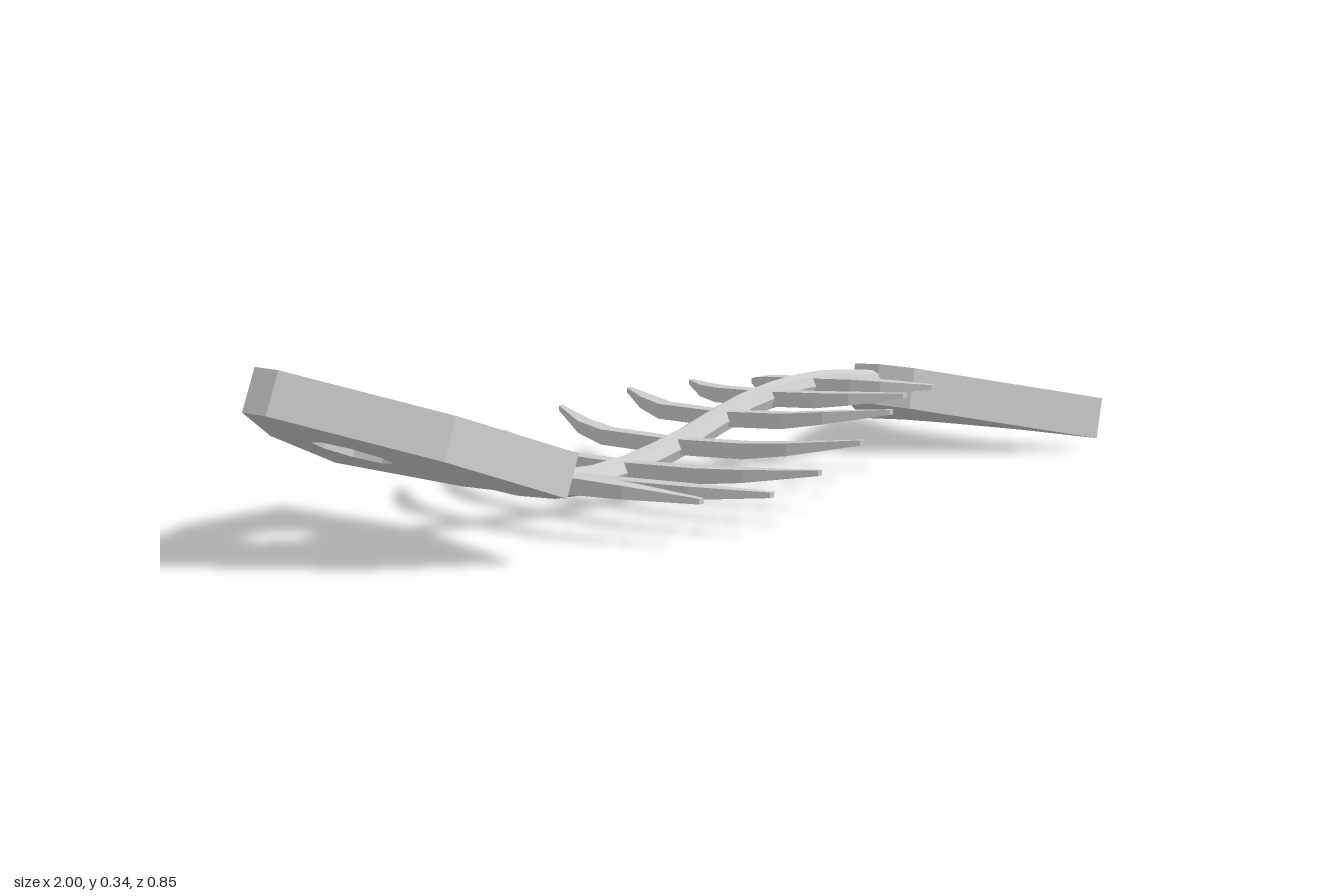
import * as THREE from 'three';

const material = new THREE.MeshStandardMaterial({ color: 0xcccccc, flatShading: true });

// Backbone curve: x, y, z
const spinePoints = [
  [-0.58, 0.135, -0.012], [-0.5, 0.11, -0.01], [-0.35, 0.068, 0], [-0.2, 0.064, 0.01], [0, 0.1, 0.017],
  [0.2, 0.15, 0.01], [0.42, 0.168, 0.002], [0.64, 0.148, 0],
].map(p => new THREE.Vector3(...p));

// Backbone centre at a given x
function spineAt(x) {
  let i = 0;
  while (i < spinePoints.length - 2 && spinePoints[i + 1].x < x) i++;
  const a = spinePoints[i], b = spinePoints[i + 1];
  return a.clone().lerp(b, (x - a.x) / (b.x - a.x));
}

// Flat plate from an outline of [along, z] points, thickened upwards
function plate(name, outline, thickness, hole) {
  const toShape = pts => pts.map(([s, z]) => new THREE.Vector2(s, -z));
  const shape = new THREE.Shape(toShape(outline));
  if (hole) shape.holes.push(new THREE.Path(toShape(hole)));
  const geometry = new THREE.ExtrudeGeometry(shape, { depth: thickness, bevelEnabled: false });
  geometry.rotateX(-Math.PI / 2);
  const mesh = new THREE.Mesh(geometry, material);
  mesh.name = name;
  return mesh;
}

// Curved tapering rib with a four-sided section; side is +1 or -1 in z
function rib(baseX, tipX, tipZ, side) {
  // fraction of z, fraction of sweep, half width, half height
  const sections = [[0, 0, 0.016, 0.015], [0.45, 0.12, 0.019, 0.015], [0.68, 0.4, 0.017, 0.012], [1, 1, 0.006, 0.005]];
  const corners = [[-1, -1], [1, -1], [1, 1], [-1, 1]];
  const z0 = spineAt(baseX).z;
  const positions = [], index = [];
  for (const [t, sweep, w, h] of sections) {
    const x = baseX + (tipX - baseX) * sweep;
    const y = spineAt(x).y + 0.016 * side * t;
    for (const [cx, cy] of corners) positions.push(x + cx * w, y + cy * h, z0 + (tipZ - z0) * t);
  }
  const face = (a, b, c) => (side > 0 ? index.push(a, b, c) : index.push(a, c, b));
  const quad = (a, b, c, d) => { face(a, b, c); face(a, c, d); };
  for (let i = 0; i < sections.length - 1; i++) {
    for (let j = 0; j < 4; j++) {
      const a = i * 4 + j, b = i * 4 + (j + 1) % 4;
      quad(a, b, b + 4, a + 4);
    }
  }
  quad(12, 13, 14, 15);
  quad(3, 2, 1, 0);
  let geometry = new THREE.BufferGeometry();
  geometry.setAttribute('position', new THREE.Float32BufferAttribute(positions, 3));
  geometry.setIndex(index);
  geometry = geometry.toNonIndexed();
  geometry.computeVertexNormals();
  return new THREE.Mesh(geometry, material);
}

export function createModel() {
  const model = new THREE.Group();
  model.name = 'fishSkeleton';

  // Head plate with an eye hole
  const eye = [];
  for (let i = 0; i < 8; i++) {
    const a = (i / 8) * Math.PI * 2;
    eye.push([0.282 + 0.073 * Math.sin(a), -0.085 + 0.075 * Math.cos(a)]);
  }
  const head = plate('head', [
    [0, -0.057], [0, 0.003], [0.2, 0.225], [0.405, 0.318], [0.485, -0.01], [0.46, -0.32], [0.235, -0.25],
  ], 0.078, eye);
  head.position.set(-1, 0.27, 0);
  head.rotation.z = -0.379;
  model.add(head);

  // Tail fin
  const tail = plate('tailFin', [
    [0.001, 0.02], [0.03, 0.09], [0.348, 0.35], [0.307, 0.19], [0.303, 0], [0.32, -0.135], [0.377, -0.29], [0.022, -0.06],
  ], 0.085);
  tail.position.set(0.61, 0.107, 0);
  tail.rotation.set(-0.031, 0, -0.253);
  model.add(tail);

  // Backbone
  const curve = new THREE.CatmullRomCurve3(spinePoints);
  const spine = new THREE.Mesh(new THREE.TubeGeometry(curve, 14, 0.027, 8), material);
  spine.name = 'backbone';
  model.add(spine);

  // Ribs: base x, far tip x and z, near tip x and z
  const ribs = new THREE.Group();
  ribs.name = 'ribs';
  [
    [-0.44, -0.313, -0.382, -0.357, 0.382],
    [-0.298, -0.163, -0.42, -0.207, 0.416],
    [-0.155, -0.033, -0.426, -0.077, 0.42],
    [-0.01, 0.118, -0.411, 0.077, 0.396],
    [0.135, 0.267, -0.358, 0.233, 0.346],
    [0.28, 0.388, -0.292, 0.363, 0.282],
    [0.418, 0.532, -0.242, 0.512, 0.242],
  ].forEach(([base, farX, farZ, nearX, nearZ], i) => {
    const right = rib(base, farX, farZ, -1);
    const left = rib(base, nearX, nearZ, 1);
    right.name = `farRib${i + 1}`;
    left.name = `nearRib${i + 1}`;
    ribs.add(right, left);
  });
  model.add(ribs);

  return model;
}
